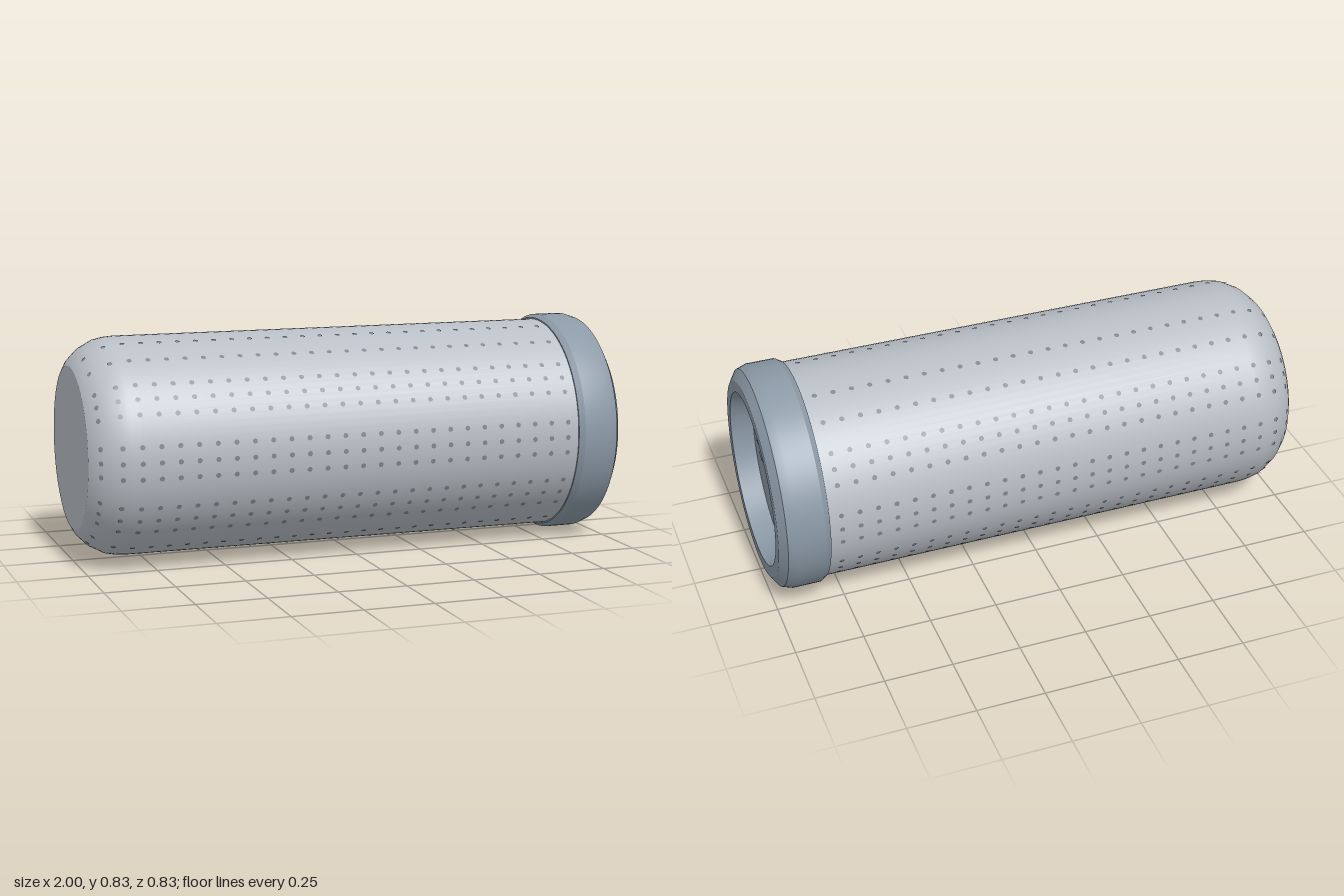
import * as THREE from 'three';
import { mergeGeometries, toCreasedNormals } from 'three/addons/utils/BufferGeometryUtils.js';

const AXIS_Y = 0.413;
const FLOOR_X = 0.92;

// [x, radius] pairs along the horizontal axis
const BODY = [[-1, 0], [-1, 0.295], [-0.985, 0.322], [-0.95, 0.357], [-0.9, 0.384], [-0.865, 0.392], [-0.83, 0.395], [0.83, 0.395]];
const CAP = [[0.82, 0.39], [0.82, 0.4], [0.84, 0.413], [0.94, 0.413], [0.975, 0.401], [1, 0.363], [1, 0.32], [FLOOR_X, 0.296], [FLOOR_X, 0]];

// Turned shape lying along x
function turned(profile) {
  const points = profile.map(([x, r]) => new THREE.Vector2(r, x));
  const geometry = new THREE.LatheGeometry(points, 96).rotateZ(-Math.PI / 2);
  return toCreasedNormals(geometry, 0.42);
}

// Body radius and slope at a position along x
function bodyAt(x) {
  for (let i = 2; i < BODY.length; i++) {
    const [x0, r0] = BODY[i - 1], [x1, r1] = BODY[i];
    if (x <= x1) {
      const slope = (r1 - r0) / (x1 - x0);
      return { r: r0 + (x - x0) * slope, slope };
    }
  }
  return { r: 0.395, slope: 0 };
}

// Grille holes as thin discs laid on the body surface
function grilleGeometry() {
  const step = Math.PI / 22;
  const quarter = [0, 1, 3, 4, 5, 7, 9];
  const rows = new Set();
  for (const k of quarter) for (const n of [k, -k, 22 - k, 22 + k]) rows.add((n + 44) % 44);
  const forward = new THREE.Vector3(0, 0, 1);
  const discs = [];
  for (const row of rows) {
    const a = row * step;
    for (let i = 0; i < 27; i++) {
      const x = -0.965 + i * 0.067;
      const { r, slope } = bodyAt(x);
      const normal = new THREE.Vector3(-slope, Math.sin(a), Math.cos(a)).normalize();
      const disc = new THREE.CircleGeometry(0.0095, 8);
      disc.applyQuaternion(new THREE.Quaternion().setFromUnitVectors(forward, normal));
      disc.translate(x + normal.x * 0.002, r * Math.sin(a) + normal.y * 0.002, r * Math.cos(a) + normal.z * 0.002);
      discs.push(disc);
    }
  }
  return mergeGeometries(discs);
}

export function createModel() {
  const bodyGrey = new THREE.MeshStandardMaterial({ color: 0xb9bfc6 });
  bodyGrey.name = 'light grey body';
  const capGrey = new THREE.MeshStandardMaterial({ color: 0x8c9aa7 });
  capGrey.name = 'blue grey cap';
  const holeGrey = new THREE.MeshStandardMaterial({ color: 0x7f868e });
  holeGrey.name = 'hole grey';
  const iconGrey = new THREE.MeshStandardMaterial({ color: 0x737980 });
  iconGrey.name = 'icon grey';

  const model = new THREE.Group();
  model.name = 'portableSpeaker';
  model.position.y = AXIS_Y;
  const add = (name, geometry, material, parent = model) => {
    const mesh = new THREE.Mesh(geometry, material);
    mesh.name = name;
    parent.add(mesh);
    return mesh;
  };

  add('body', turned(BODY), bodyGrey);
  add('grilleHoles', grilleGeometry(), holeGrey);
  add('controlCap', turned(CAP), capGrey);

  // Control marks on the recessed floor of the cap
  const controls = new THREE.Group();
  controls.name = 'controlMarks';
  controls.position.x = FLOOR_X + 0.002;
  model.add(controls);
  const bar = (name, height, depth, z) => {
    add(name, new THREE.BoxGeometry(0.006, height, depth), iconGrey, controls).position.z = z;
  };
  bar('minusBar', 0.1, 0.011, -0.17);
  bar('plusVertical', 0.1, 0.01, 0);
  bar('plusHorizontal', 0.01, 0.1, 0);
  bar('powerBar', 0.01, 0.06, 0.205);
  const arc = new THREE.RingGeometry(0.042, 0.051, 40, 1, -Math.PI + 0.75, Math.PI * 2 - 1.5).rotateY(Math.PI / 2);
  add('powerArc', arc, iconGrey, controls).position.set(0.003, 0, 0.17);

  const root = new THREE.Group();
  root.name = 'speaker';
  root.add(model);
  return root;
}
